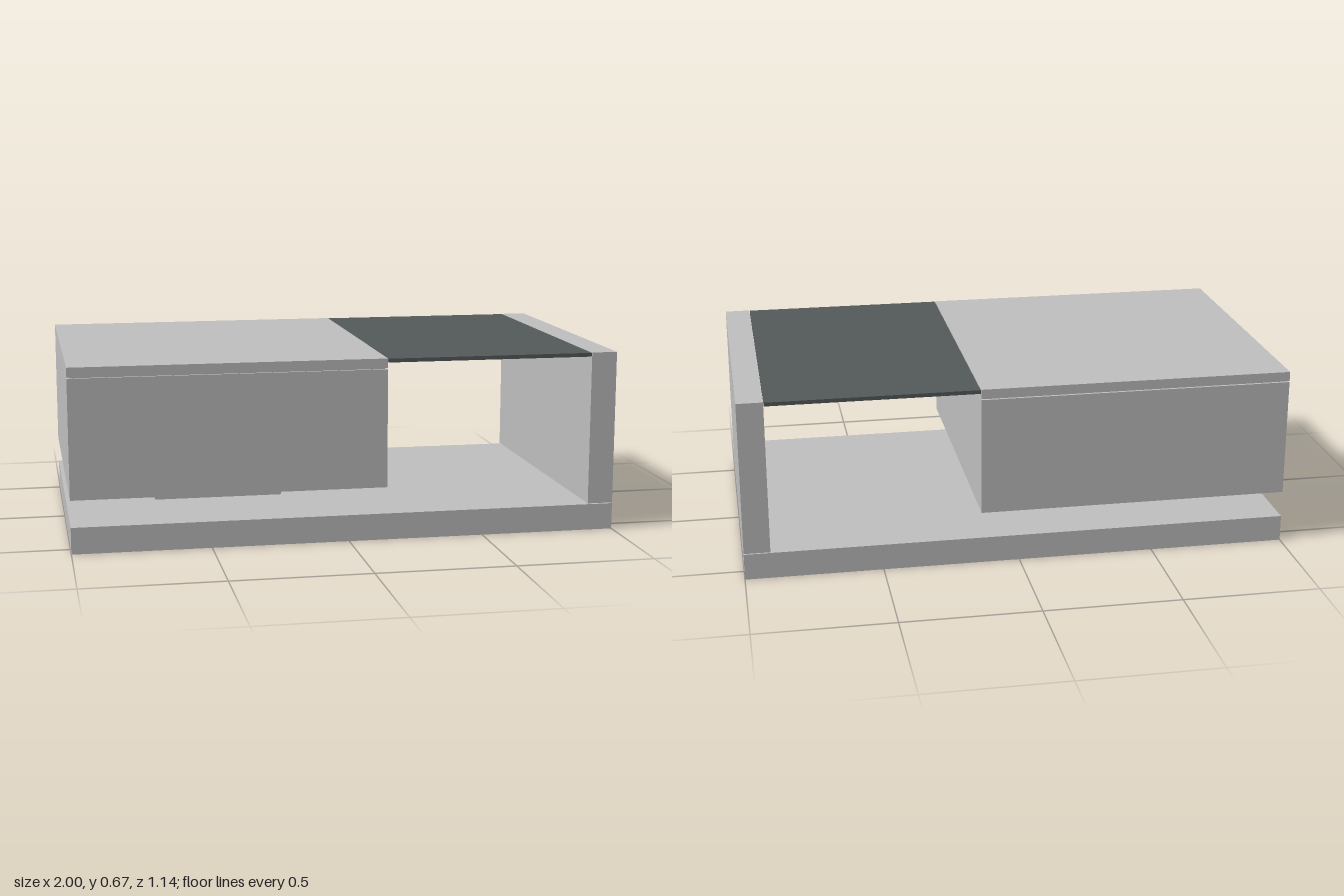
import * as THREE from 'three';

export function createModel() {
  const model = new THREE.Group();
  const grey = new THREE.MeshStandardMaterial({ color: 0xbfbfbf });
  grey.name = 'light grey panel';
  const dark = new THREE.MeshStandardMaterial({ color: 0x545959 });
  dark.name = 'dark glass';

  // Box given by its limits on each axis
  function block(name, material, [x0, x1], [y0, y1], [z0, z1]) {
    const mesh = new THREE.Mesh(new THREE.BoxGeometry(x1 - x0, y1 - y0, z1 - z0), material);
    mesh.position.set((x0 + x1) / 2, (y0 + y1) / 2, (z0 + z1) / 2);
    mesh.name = name;
    model.add(mesh);
  }
  const depth = [-0.57, 0.57];

  block('base', grey, [-1, 1], [0, 0.097], depth);
  block('pedestal', grey, [-0.67, -0.19], [0.097, 0.195], [-0.2, 0.2]);

  // Cabinet and its top board, with a fine shadow gap between
  block('cabinet', grey, [-1, 0.14], [0.195, 0.628], depth);
  block('shadowGap', grey, [-0.99, 0.13], [0.628, 0.632], [-0.56, 0.56]);
  block('topBoard', grey, [-1, 0.14], [0.632, 0.667], depth);

  // End panel, a hair above the base
  block('endPanel', grey, [0.905, 1], [0.1, 0.667], depth);

  // Glass shelf on small clips
  block('glassShelf', dark, [0.142, 0.903], [0.652, 0.666], depth);
  for (const z of [-0.38, 0, 0.38]) {
    block('leftClip', grey, [0.89, 0.905], [0.643, 0.652], [z - 0.008, z + 0.008]);
    block('rightClip', grey, [0.14, 0.155], [0.643, 0.652], [z - 0.008, z + 0.008]);
  }
  return model;
}
